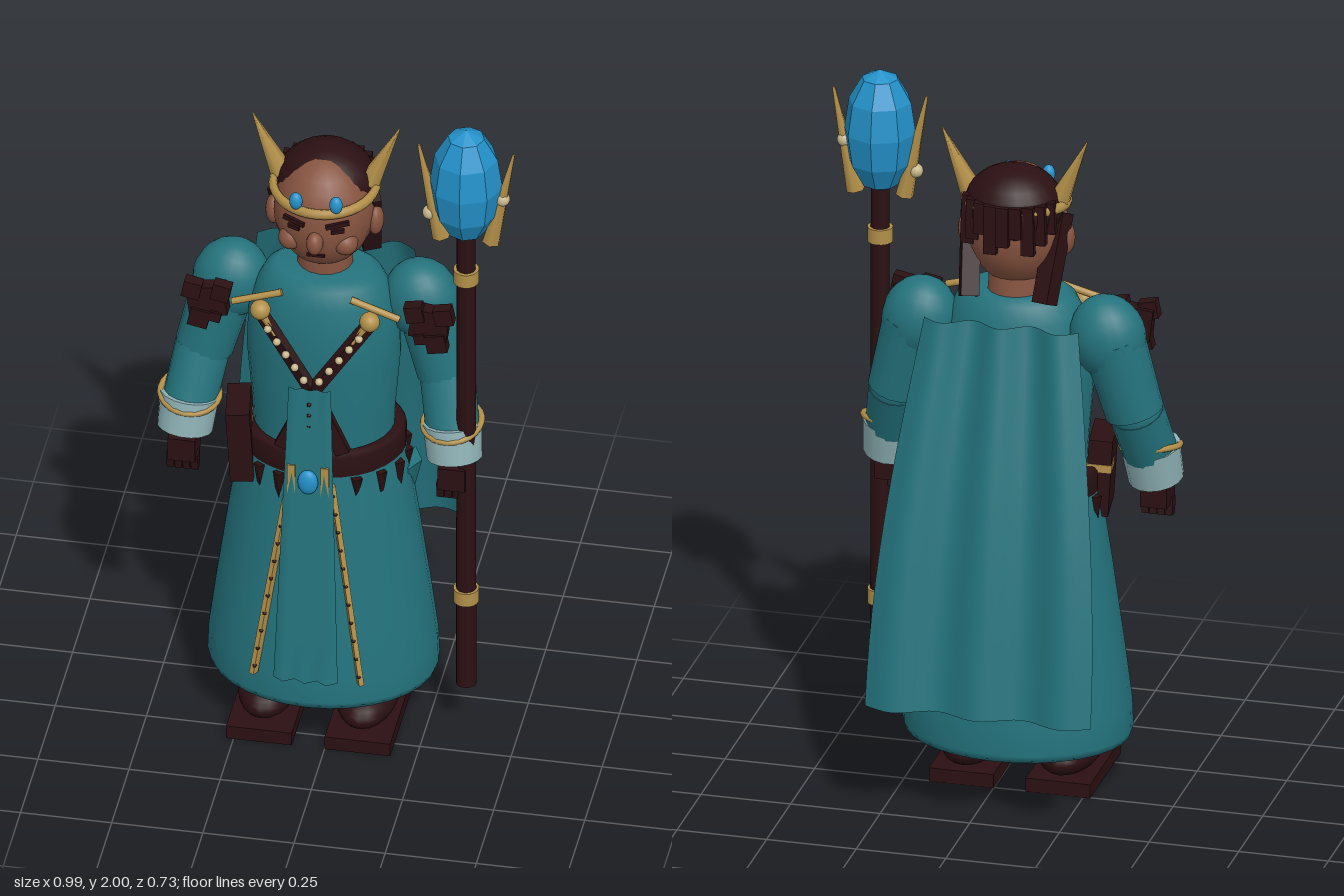
import * as THREE from 'three';

const mat = (name, color) => Object.assign(new THREE.MeshStandardMaterial({ color }), { name });

export function createModel() {
  const teal = mat('teal cloth', 0x24737d), dark = mat('dark leather', 0x2b1012), gold = mat('gold', 0xb39049);
  const skin = mat('skin', 0x875440), blue = mat('blue crystal', 0x2391c9), pale = mat('pale cuff', 0x8fb2b6);
  const pearl = mat('pearl', 0xc8b78c);
  const cape = mat('cape cloth', 0x24727c);
  teal.side = cape.side = THREE.DoubleSide;

  const root = new THREE.Group();
  root.name = 'staffBearer';
  const body = new THREE.Group(); // figure stands slightly off centre, beside the staff
  body.name = 'figure';
  body.position.x = -0.045;
  root.add(body);

  const V = (a) => new THREE.Vector3(...a);
  const add = (name, geo, m, p = [0, 0, 0], r = [0, 0, 0], parent = body) => {
    const o = new THREE.Mesh(geo, m);
    o.name = name;
    o.position.set(...p);
    o.rotation.set(...r);
    parent.add(o);
    return o;
  };
  const box = (name, m, size, p, r, parent) => add(name, new THREE.BoxGeometry(...size), m, p, r, parent);
  const ball = (name, m, rad, p, r, parent) =>
    add(name, new THREE.SphereGeometry(1, 20, 14).scale(...(Array.isArray(rad) ? rad : [rad, rad, rad])), m, p, r, parent);
  // orient a y-aligned geometry from point a to point b
  const between = (name, geo, m, a, b, parent) => {
    const A = V(a), B = V(b), o = add(name, geo, m, A.clone().add(B).multiplyScalar(0.5).toArray(), [0, 0, 0], parent);
    o.quaternion.setFromUnitVectors(new THREE.Vector3(0, 1, 0), B.sub(A).normalize());
    return o;
  };
  const dist = (a, b) => V(a).distanceTo(V(b));
  const limb = (name, m, a, b, ra, rb, parent, n = 16) =>
    between(name, new THREE.CylinderGeometry(rb, ra, dist(a, b), n), m, a, b, parent);
  const bar = (name, m, a, b, w, d, parent) =>
    between(name, new THREE.BoxGeometry(w, dist(a, b), d), m, a, b, parent);
  const lathe = (name, m, pts, sx, sz, p) =>
    add(name, new THREE.LatheGeometry(pts.map((q) => new THREE.Vector2(...q)), 32).scale(sx, 1, sz), m, p);

  // robe and torso
  lathe('robeSkirt', teal, [[0, 0.16], [0.98, 0.15], [1, 0.17], [0.99, 0.25], [0.93, 0.4], [0.82, 0.65], [0.71, 0.88]],
    0.315, 0.255, [0, 0, 0.085]);
  lathe('torso', teal, [[0.9, 0.85], [0.93, 1], [1, 1.18], [0.98, 1.3], [0.88, 1.38], [0.76, 1.43], [0.62, 1.45], [0, 1.45]],
    0.21, 0.155, [0, 0, 0.08]);
  lathe('belt', dark, [[0.96, 0.86], [1, 0.87], [1, 0.93], [0.96, 0.94], [0.85, 0.94]], 0.225, 0.185, [0, 0, 0.083]);

  // leather tatters hanging from the belt
  [-2.1, -1.75, -1.4, -1.05, -0.7, -0.4, 0.55, 0.9, 1.25, 1.6, 1.95].forEach((t, i) => {
    const len = 0.08 + 0.035 * (i % 3);
    add('beltTatter', new THREE.ConeGeometry(0.018, len, 4), dark,
      [Math.sin(t) * 0.228, 0.865 - len / 2, 0.085 + Math.cos(t) * 0.185], [Math.PI, 0, 0]);
  });
  // cloth flap on the left hip
  add('hipFlap', new THREE.ConeGeometry(0.055, 0.22, 4).scale(0.5, 1, 1), teal, [0.225, 0.7, 0.05], [Math.PI, 0, 0.1]);

  // pleated front panel
  const panel = new THREE.PlaneGeometry(1, 1, 6, 8), pp = panel.attributes.position;
  for (let i = 0; i < pp.count; i++) {
    const u = pp.getX(i) * 2, t = 0.5 - pp.getY(i), fold = Math.round((u + 1) * 3) % 2;
    pp.setXYZ(i, u * (0.058 + 0.03 * t), 1.175 - 0.925 * t, 0.287 + 0.06 * t + fold * (0.008 + 0.01 * t));
  }
  panel.computeVertexNormals();
  add('frontPanel', panel, teal);
  for (let i = 0; i < 6; i++) ball('panelStud', dark, 0.006, [0, 1.13 - i * 0.035, 0.298]);

  // belt buckle
  for (const s of [-1, 1]) box('bucklePlate', gold, [0.022, 0.1, 0.02], [s * 0.046, 0.885, 0.305]);
  ball('buckleGem', blue, [0.028, 0.038, 0.018], [0, 0.885, 0.315]);

  // book on the right hip
  const book = new THREE.Group();
  book.name = 'beltBook';
  book.position.set(-0.215, 0.905, 0.15);
  book.rotation.set(0, 0.15, 0.06);
  body.add(book);
  box('bookCover', dark, [0.065, 0.22, 0.15], [0, 0, 0], [0, 0, 0], book);
  box('bookClasp', gold, [0.069, 0.022, 0.07], [0, 0.03, -0.042], [0, 0, 0], book);

  // neck and head
  limb('neck', skin, [0, 1.42, 0.06], [0, 1.53, 0.065], 0.078, 0.072);
  ball('head', skin, [0.138, 0.17, 0.14], [0, 1.635, 0.073]);
  ball('nose', skin, [0.023, 0.034, 0.028], [0, 1.608, 0.215]);
  ball('hairCap', dark, [0.137, 0.115, 0.128], [0, 1.698, 0.042]);
  box('mouth', dark, [0.05, 0.007, 0.008], [0, 1.558, 0.2]);
  for (const s of [-1, 1]) {
    ball('ear', skin, [0.022, 0.045, 0.032], [s * 0.14, 1.605, 0.07]);
    ball('cheek', skin, 0.034, [s * 0.075, 1.585, 0.165]);
    box('brow', dark, [0.065, 0.013, 0.009], [s * 0.06, 1.667, 0.202], [0, s * 0.4, s * 0.1]);
    box('eye', dark, [0.036, 0.012, 0.009], [s * 0.06, 1.645, 0.2], [0, s * 0.4, 0]);
    bar('sideLock', dark, [s * 0.125, 1.68, 0.065], [s * 0.105, 1.45, -0.035], 0.05, 0.05);
  }
  for (let i = 0; i < 9; i++) { // ragged hair at the back
    const t = Math.PI + (i - 4) * 0.27, low = 1.6 + 0.025 * (i % 3);
    bar('backHair', dark, [Math.sin(t) * 0.125, 1.74, 0.045 + Math.cos(t) * 0.122],
      [Math.sin(t) * 0.13, low, 0.045 + Math.cos(t) * 0.122], 0.036, 0.024);
  }

  // crown
  add('crownBand', new THREE.TorusGeometry(0.14, 0.012, 8, 36).rotateX(Math.PI / 2).scale(1, 1.3, 0.98),
    gold, [0, 1.708, 0.067], [0.08, 0, 0]);
  for (const s of [-1, 1]) {
    limb('crownHorn', gold, [s * 0.122, 1.72, 0.055], [s * 0.202, 1.9, 0.05], 0.032, 0.002, body, 6);
    ball('crownGem', blue, [0.018, 0.026, 0.016], [s * 0.055, 1.73, 0.198]);
  }

  // arms, legs and mirrored ornaments
  for (const s of [-1, 1]) {
    const P = (x, y, z) => [s * x, y, z];
    ball('shoulderPuff', teal, [0.105, 0.12, 0.092], P(0.262, 1.34, 0.042), [0, 0, s * 0.2]);
    limb('upperSleeve', teal, P(0.332, 1.12, 0.06), P(0.275, 1.34, 0.04), 0.08, 0.088);
    ball('elbow', teal, 0.074, P(0.335, 1.12, 0.065));
    limb('forearmSleeve', teal, P(0.362, 0.97, 0.125), P(0.335, 1.12, 0.065), 0.074, 0.076);
    limb('cuff', pale, P(0.37, 0.9, 0.142), P(0.36, 1.0, 0.122), 0.076, 0.081);
    add('cuffTrim', new THREE.TorusGeometry(0.08, 0.009, 8, 24), gold, P(0.36, 1.0, 0.122), [Math.PI / 2 + 0.2, s * 0.1, 0]);
    box('hand', dark, [0.075, 0.07, 0.085], P(0.37, 0.855, 0.153));
    for (let i = 0; i < 4; i++)
      box('finger', dark, [0.02, 0.05, 0.03], P(0.337 + i * 0.022, 0.81, 0.165), [0.15, 0, 0]);

    ball('boot', dark, [0.085, 0.062, 0.165], P(0.135, 0.09, 0.14));
    limb('bootShaft', dark, P(0.135, 0.08, 0.08), P(0.13, 0.24, 0.08), 0.07, 0.075);
    box('bootSole', dark, [0.18, 0.04, 0.315], P(0.135, 0.02, 0.152));

    // ragged badge on the shoulder
    box('shoulderBadge', dark, [0.105, 0.09, 0.04], P(0.305, 1.345, 0.155), [0, 0, -s * 0.12]);
    [[0.265, 1.38, 0.05], [0.345, 1.38, 0.05], [0.325, 1.29, 0.055], [0.28, 1.3, 0.03]].forEach(([x, y, w]) =>
      box('badgeScrap', dark, [w, w, 0.035], P(x, y, 0.165), [0, 0, s * 0.2]));

    // crossing chest straps with beads
    bar('chestStrap', dark, P(0.16, 1.37, 0.205), P(0, 1.14, 0.25), 0.036, 0.022);
    bar('chestStrapEnd', dark, P(0, 1.14, 0.25), P(0.085, 0.95, 0.25), 0.04, 0.022);
    for (let i = 0; i < 5; i++)
      ball('strapBead', pearl, 0.011, P(0.125 - i * 0.026, 1.32 - i * 0.034, 0.235 + i * 0.007));
    ball('claspKnob', gold, 0.028, P(0.15, 1.365, 0.212));
    limb('claspRod', gold, P(0.23, 1.375, 0.2), P(0.095, 1.415, 0.19), 0.01, 0.01, body, 8);
    limb('claspPin', gold, P(0.15, 1.365, 0.215), P(0.105, 1.3, 0.235), 0.014, 0.004, body, 6);

    // studded trim down the robe
    bar('robeTrim', gold, P(0.058, 0.85, 0.27), P(0.147, 0.24, 0.325), 0.022, 0.014);
    for (let i = 0; i < 11; i++) {
      const t = (i + 0.5) / 11;
      ball('trimStud', dark, 0.006, P(0.058 + 0.089 * t, 0.85 - 0.61 * t, 0.278 + 0.055 * t));
    }
  }

  // cape with three soft folds
  const cg = new THREE.PlaneGeometry(1, 1, 32, 12), cp = cg.attributes.position;
  for (let i = 0; i < cp.count; i++) {
    const u = cp.getX(i) * 2, t = 0.5 - cp.getY(i);
    const half = 0.215 + 0.1 * Math.sin(t * Math.PI / 2);
    cp.setXYZ(i, u * half, 1.4 - 1.05 * t,
      -0.1 - 0.245 * t - 0.02 * Math.sin(Math.PI * t) - 0.02 * Math.cos(2 * Math.PI * u / 0.75));
  }
  cg.computeVertexNormals();
  add('cape', cg, cape);

  // staff
  const staff = new THREE.Group();
  staff.name = 'staff';
  staff.position.set(0.36, 0, 0.16);
  root.add(staff);
  limb('staffShaft', dark, [0, 0.165, 0], [0, 1.68, 0], 0.028, 0.026, staff, 12);
  for (const y of [0.46, 1.52])
    add('staffRing', new THREE.CylinderGeometry(0.035, 0.035, 0.042, 16), gold, [0, y, 0], [0, 0, 0], staff);
  const facets = new THREE.SphereGeometry(1, 8, 6).scale(0.1, 0.178, 0.1).toNonIndexed();
  facets.computeVertexNormals();
  add('staffCrystal', facets, blue, [0, 1.822, 0], [0, 0, 0], staff);
  for (const s of [-1, 1]) {
    limb('staffProng', gold, [s * 0.068, 1.64, 0], [s * 0.13, 1.935, 0], 0.026, 0.004, staff, 6);
    ball('prongPearl', pearl, 0.02, [s * 0.1, s > 0 ? 1.785 : 1.715, 0], [0, 0, 0], staff);
  }
  return root;
}
